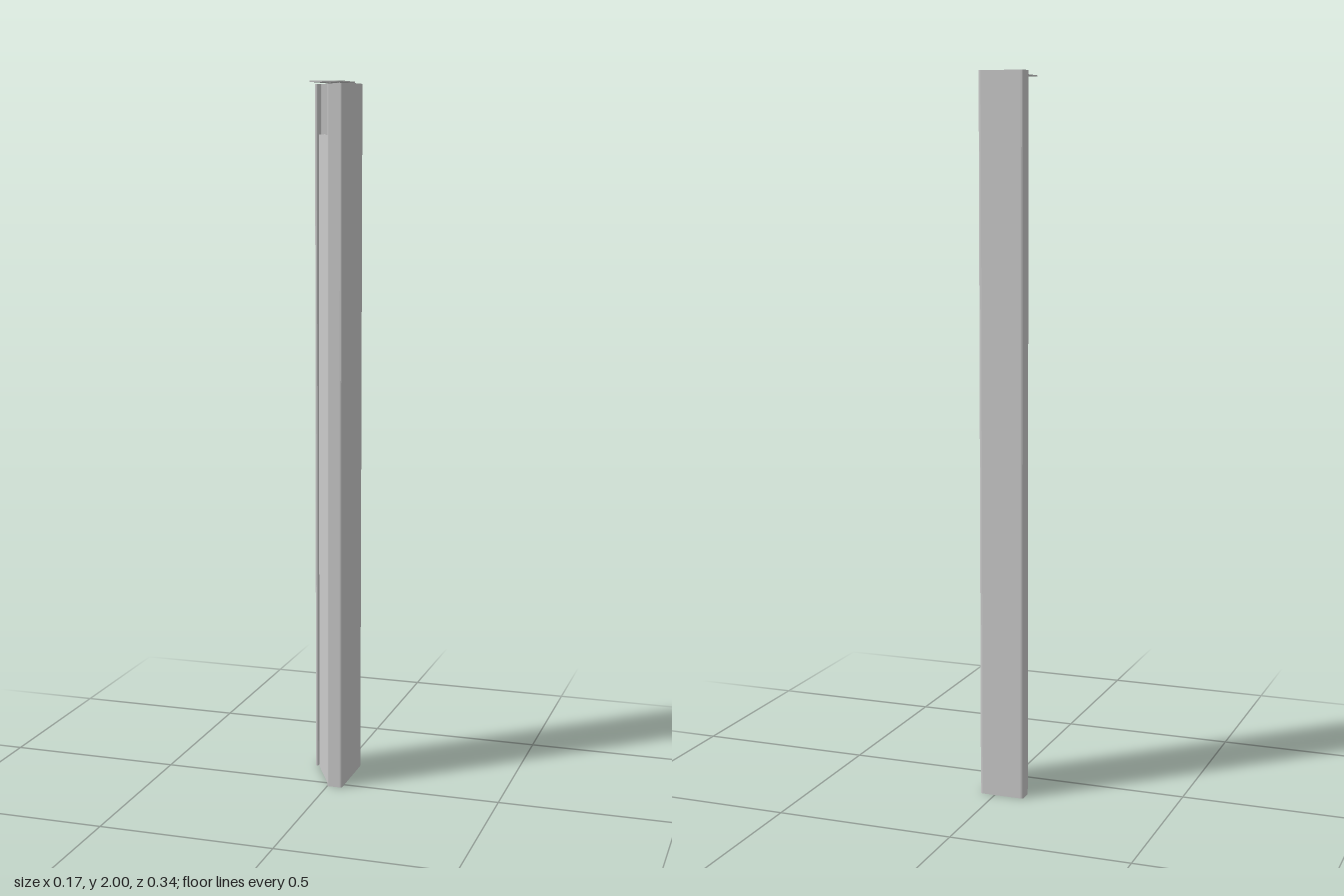
import * as THREE from 'three';

const T = 0.003; // sheet thickness
const material = new THREE.MeshStandardMaterial({ color: 0xcccccc, flatShading: true, side: THREE.DoubleSide });

// Rounds the corners of a plan polyline [x, z, radius]
function roundPath(points) {
  const v = points.map(p => new THREE.Vector2(p[0], -p[1]));
  const out = [v[0]];
  for (let i = 1; i < v.length - 1; i++) {
    const r = points[i][2];
    const toward = q => q.clone().sub(v[i]).setLength(r).add(v[i]);
    out.push(...new THREE.QuadraticBezierCurve(toward(v[i - 1]), v[i], toward(v[i + 1])).getPoints(4));
  }
  out.push(v[v.length - 1]);
  return out;
}

// Thickens the polyline into a sheet section and extrudes it upward
function foldedSheet(name, points, height) {
  const path = roundPath(points);
  const left = [], right = [];
  path.forEach((p, i) => {
    const a = path[Math.max(i - 1, 0)], b = path[Math.min(i + 1, path.length - 1)];
    const d1 = (i ? p.clone().sub(a) : b.clone().sub(p)).normalize();
    const d2 = (i < path.length - 1 ? b.clone().sub(p) : d1.clone()).normalize();
    const n = new THREE.Vector2(-d1.y - d2.y, d1.x + d2.x).normalize();
    n.multiplyScalar(T / 2 / Math.max(0.5, n.dot(new THREE.Vector2(-d1.y, d1.x))));
    left.push(p.clone().add(n));
    right.unshift(p.clone().sub(n));
  });
  const geometry = new THREE.ExtrudeGeometry(new THREE.Shape([...left, ...right]), { depth: height, bevelEnabled: false });
  geometry.rotateX(-Math.PI / 2);
  const mesh = new THREE.Mesh(geometry, material);
  mesh.name = name;
  return mesh;
}

// Flat tab with rounded outer corners, two holes and a neck to the channel
function mountingTab() {
  const x0 = -0.002, x1 = 0.085, z0 = 0.028, z1 = 0.17, r = 0.02;
  const s = new THREE.Shape();
  s.moveTo(x0, -z1);
  s.lineTo(x1 - r, -z1);
  s.absarc(x1 - r, -z1 + r, r, -Math.PI / 2, 0, false);
  s.absarc(x1 - r, -z0 - r, r, 0, Math.PI / 2, false);
  s.lineTo(0.039, -z0);
  s.lineTo(0.039, -0.022);
  s.lineTo(0.004, -0.022);
  s.lineTo(0.004, -z0);
  s.lineTo(x0, -z0);
  s.closePath();
  for (const [x, z] of [[0.021, 0.078], [0.061, 0.118]]) {
    const hole = [];
    for (let i = 0; i < 5; i++) {
      const a = Math.PI / 2 + i * Math.PI * 2 / 5;
      hole.push(new THREE.Vector2(x + 0.008 * Math.cos(a), -z + 0.008 * Math.sin(a)));
    }
    s.holes.push(new THREE.Path(hole));
  }
  const geometry = new THREE.ExtrudeGeometry(s, { depth: T, bevelEnabled: false, curveSegments: 6 });
  geometry.rotateX(-Math.PI / 2).translate(0, 2 - T, 0);
  const mesh = new THREE.Mesh(geometry, material);
  mesh.name = 'mountingTab';
  return mesh;
}

export function createModel() {
  const group = new THREE.Group();
  group.name = 'cornerPost';

  // Outer channel with a folded hem at both ends
  group.add(foldedSheet('outerChannel', [
    [-0.0775, -0.156, 0],
    [-0.0775, -0.1295, 0.0028],
    [-0.0835, -0.1295, 0.0028],
    [-0.0835, -0.1685, 0.007],
    [0.0425, -0.1685, 0.007],
    [0.0425, 0.0235, 0.006],
    [0.0015, 0.0235, 0.0025],
    [0.0015, 0.0185, 0.0025],
    [0.027, 0.0185, 0],
  ], 2));

  // Slanted cover panel, stopping short of the top
  group.add(foldedSheet('coverPanel', [
    [-0.0725, -0.167, 0],
    [-0.0725, -0.129, 0.006],
    [0.002, 0.0145, 0.006],
    [0.041, 0.0145, 0],
  ], 1.86));

  group.add(mountingTab());
  return group;
}
